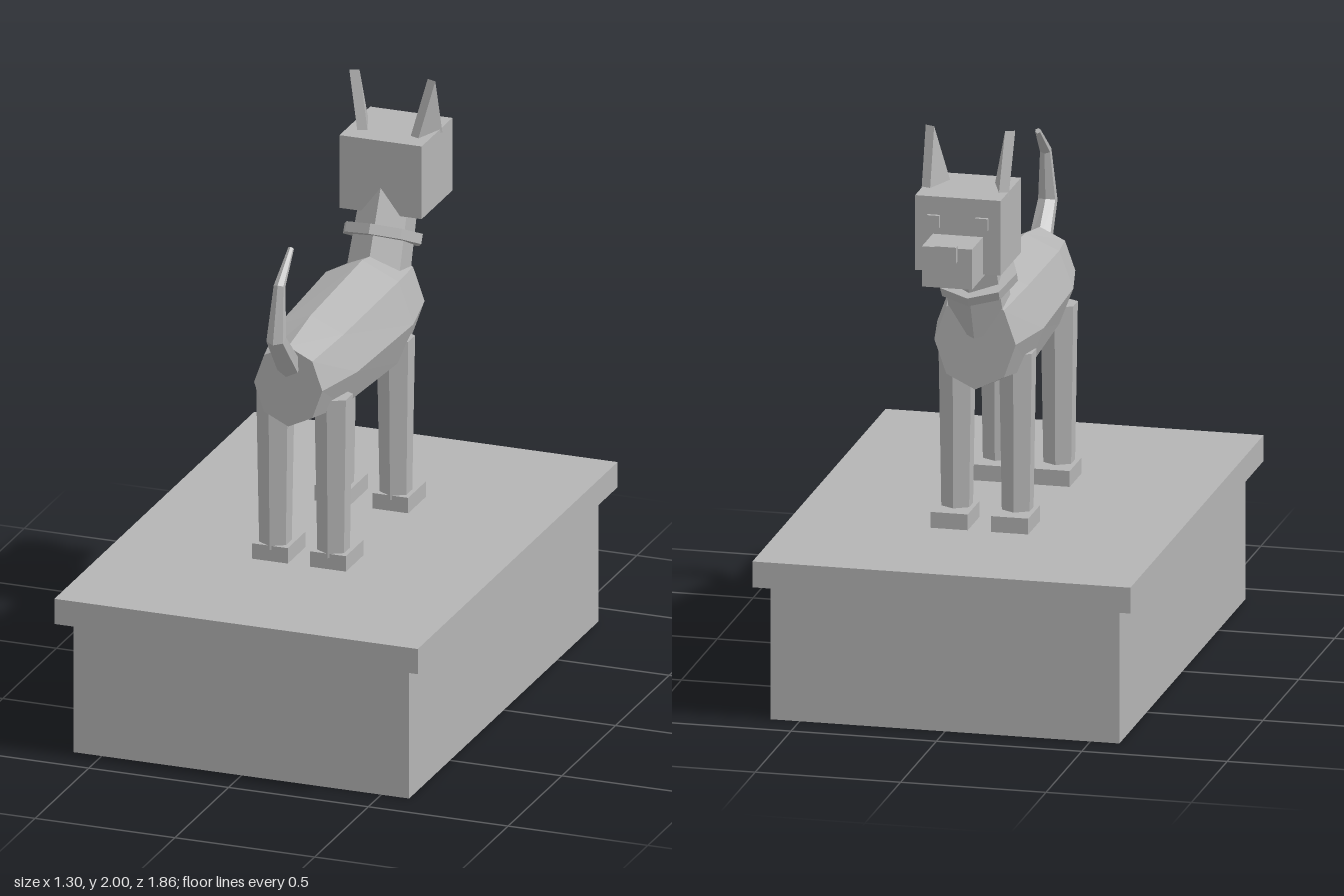
import * as THREE from 'three';
import { ConvexGeometry } from 'three/addons/geometries/ConvexGeometry.js';

export function createModel() {
  const model = new THREE.Group();
  model.name = 'dogOnPlinth';
  const stone = new THREE.MeshStandardMaterial({ color: 0xb4b4b4 });
  stone.name = 'stone grey';

  // Adds a faceted mesh
  function add(name, geometry, x = 0, y = 0, z = 0) {
    const flat = geometry.index ? geometry.toNonIndexed() : geometry;
    flat.computeVertexNormals();
    const mesh = new THREE.Mesh(flat, stone);
    mesh.name = name;
    mesh.position.set(x, y, z);
    model.add(mesh);
    return mesh;
  }

  // Box given by its limits in y and z, and its centre and width in x
  const box = (name, x, w, y0, y1, z0, z1) =>
    add(name, new THREE.BoxGeometry(w, y1 - y0, z1 - z0), x, (y0 + y1) / 2, (z0 + z1) / 2);

  // Closed skin over rings of points that run anticlockwise around the path
  function loft(rings) {
    const n = rings[0].length;
    const pos = [];
    const tri = (...pts) => pts.forEach((p) => pos.push(p.x, p.y, p.z));
    for (let r = 0; r < rings.length - 1; r++) {
      for (let i = 0; i < n; i++) {
        const j = (i + 1) % n;
        const a = rings[r], b = rings[r + 1];
        tri(a[i], a[j], b[j]);
        tri(a[i], b[j], b[i]);
      }
    }
    const first = rings[0], last = rings[rings.length - 1];
    for (let i = 1; i < n - 1; i++) {
      tri(first[0], first[i + 1], first[i]);
      tri(last[0], last[i], last[i + 1]);
    }
    const g = new THREE.BufferGeometry();
    g.setAttribute('position', new THREE.Float32BufferAttribute(pos, 3));
    return g;
  }

  // Plinth
  box('plinthBase', 0, 1.2, 0, 0.47, -0.88, 0.88);
  box('plinthTop', 0, 1.3, 0.47, 0.56, -0.93, 0.93);

  // Body: octagonal sections [z, half width, half height]
  const sections = [[0.445, 0.122, 0.143], [0.235, 0.167, 0.18], [-0.245, 0.183, 0.205], [-0.46, 0.14, 0.165]];
  add('body', loft(sections.map(([z, rx, ry]) =>
    Array.from({ length: 8 }, (_, i) => {
      const a = (i * Math.PI) / 4;
      return new THREE.Vector3(rx * Math.cos(a), 1.235 - ry * Math.sin(a), z);
    }))));

  // Legs and feet
  for (const [end, z] of [['front', -0.287], ['back', 0.293]]) {
    for (const [side, s] of [['Left', 1], ['Right', -1]]) {
      add(end + side + 'Leg', new THREE.CylinderGeometry(0.065, 0.055, 0.565, 6), s * 0.104, 0.8825, z);
      box(end + side + 'Foot', s * 0.104, 0.128, 0.56, 0.615, z - 0.113, z + 0.052);
    }
  }

  // Neck and collar lean towards the head
  const lean = -0.415;
  add('neck', new THREE.CylinderGeometry(0.097, 0.111, 0.368, 6), 0, 1.465, -0.447).rotation.x = lean;
  add('collar', new THREE.CylinderGeometry(0.14, 0.14, 0.035, 8), 0, 1.465, -0.437).rotation.x = lean - 0.05;

  // Head
  box('head', 0, 0.294, 1.545, 1.805, -0.7, -0.415);
  box('muzzle', 0, 0.172, 1.535, 1.675, -0.853, -0.645);
  box('nose', 0, 0.074, 1.63, 1.685, -0.877, -0.845);

  // Eyes and ears, mirrored
  for (const [side, s] of [['left', 1], ['right', -1]]) {
    box(side + 'Eye', s * 0.083, 0.043, 1.7, 1.742, -0.713, -0.69);
    const corners = [[0.09, 1.79, -0.485], [0.134, 1.79, -0.606], [0.138, 2.0, -0.53]];
    const points = corners.flatMap(([x, y, z]) => [-1, 1].map((k) =>
      new THREE.Vector3(s * (x + k * 0.016), y, z + k * 0.006)));
    add(side + 'Ear', new ConvexGeometry(points));
  }

  // Tail: tapering six-sided bends [z, y, radius]
  const bends = [[0.435, 1.305, 0.042], [0.556, 1.443, 0.034], [0.526, 1.623, 0.02], [0.418, 1.72, 0.01]];
  const path = bends.map(([z, y]) => new THREE.Vector3(0, y, z));
  const across = new THREE.Vector3(1, 0, 0);
  add('tail', loft(path.map((p, k) => {
    const before = path[Math.max(k - 1, 0)], after = path[Math.min(k + 1, path.length - 1)];
    const along = after.clone().sub(before).normalize();
    const v = along.cross(across);
    return Array.from({ length: 6 }, (_, i) => {
      const a = ((i + 0.5) * Math.PI) / 3;
      return p.clone().addScaledVector(across, bends[k][2] * Math.cos(a)).addScaledVector(v, bends[k][2] * Math.sin(a));
    });
  })));

  return model;
}
